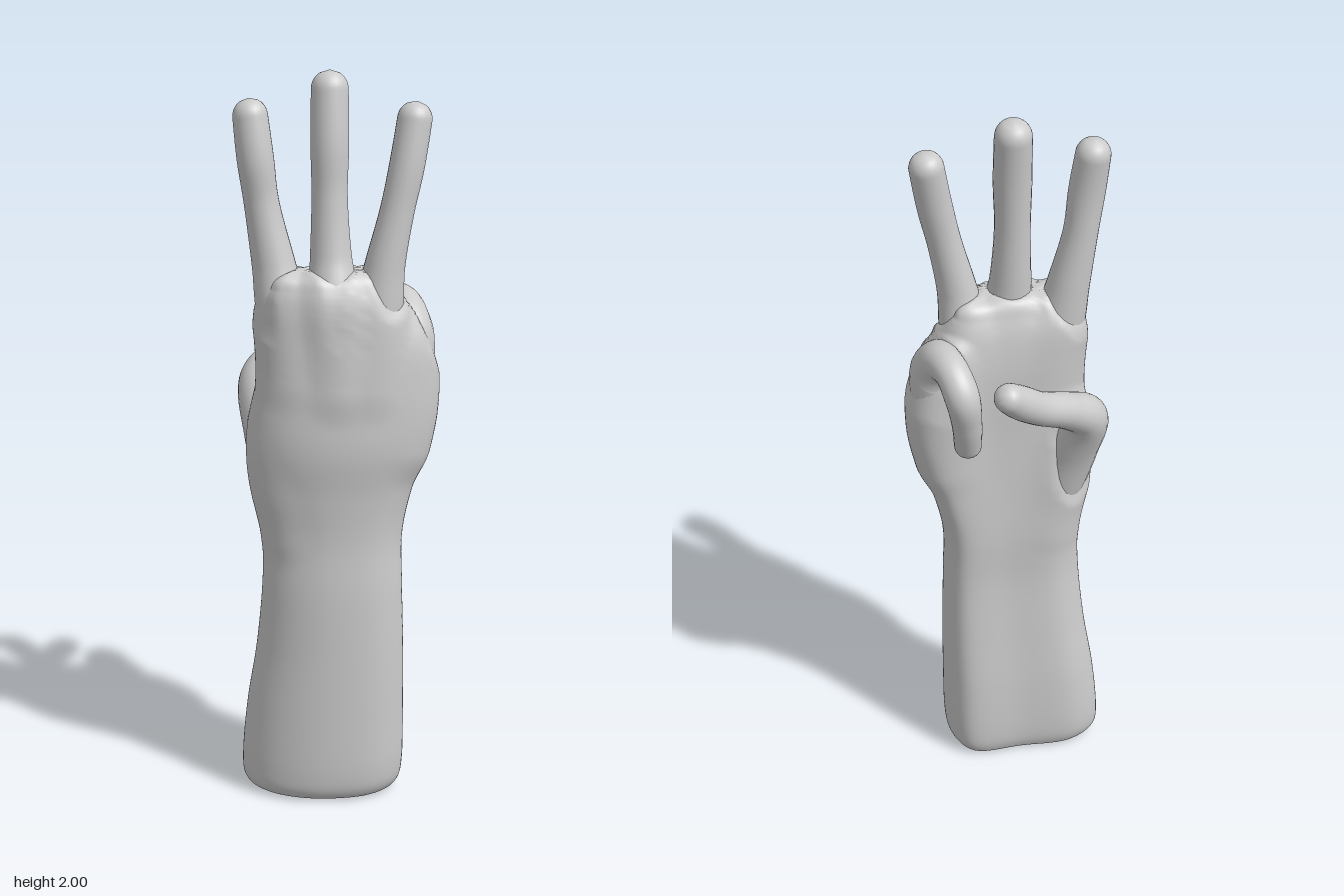
import * as THREE from 'three';
import { mergeVertices } from 'three/addons/utils/BufferGeometryUtils.js';

const material = new THREE.MeshStandardMaterial({ color: 0xcccccc });

// Joints of each digit from root to tip: [x, y, z, radius]
const digits = {
  indexFinger: [
    [-0.12, 1.2, 0.045, 0.06], [-0.148, 1.38, 0.025, 0.068], [-0.163, 1.5, 0.005, 0.057],
    [-0.188, 1.66, -0.012, 0.046], [-0.203, 1.78, -0.016, 0.048], [-0.212, 1.93, -0.038, 0.045],
  ],
  middleFinger: [
    [-0.03, 1.18, 0.11, 0.06], [-0.034, 1.4, 0.1, 0.07], [-0.032, 1.52, 0.078, 0.055],
    [-0.029, 1.68, 0.062, 0.047], [-0.025, 1.82, 0.054, 0.05], [-0.015, 2.0, 0.03, 0.048],
  ],
  ringFinger: [
    [0.05, 1.18, 0.12, 0.06], [0.083, 1.38, 0.12, 0.066], [0.098, 1.5, 0.13, 0.053],
    [0.128, 1.64, 0.136, 0.045], [0.156, 1.76, 0.135, 0.046], [0.19, 1.92, 0.122, 0.045],
  ],
  littleFinger: [
    [0.15, 1.0, 0.11, 0.06], [0.17, 1.18, 0.1, 0.076], [0.178, 1.3, 0.09, 0.075],
    [0.194, 1.355, 0.04, 0.054], [0.198, 1.358, -0.025, 0.046], [0.195, 1.31, -0.07, 0.046],
    [0.178, 1.22, -0.063, 0.04], [0.155, 1.095, -0.025, 0.036],
  ],
  thumb: [
    [-0.12, 0.76, 0.02, 0.05], [-0.145, 0.9, -0.005, 0.066], [-0.16, 1.03, -0.045, 0.068],
    [-0.155, 1.155, -0.107, 0.06], [-0.085, 1.212, -0.133, 0.05], [0.015, 1.265, -0.155, 0.045],
    [0.08, 1.312, -0.168, 0.045], [0.148, 1.37, -0.19, 0.036],
  ],
};

// Smooth curve through a list of numbers, t in 0..1
function track(values) {
  const curve = new THREE.SplineCurve(values.map((v) => new THREE.Vector2(v, 0)));
  return (t) => curve.getPoint(t).x;
}

// Centre line and thickness of a digit
function spine(joints) {
  return {
    path: new THREE.CatmullRomCurve3(joints.map(([x, y, z]) => new THREE.Vector3(x, y, z))),
    radius: track(joints.map((j) => j[3])),
  };
}

// Weld the seam and give smooth normals
function smoothMesh(geometry, name) {
  geometry.deleteAttribute('uv');
  geometry.deleteAttribute('normal');
  const welded = mergeVertices(geometry, 1e-5);
  welded.computeVertexNormals();
  const mesh = new THREE.Mesh(welded, material);
  mesh.name = name;
  return mesh;
}

// Round-ended tube of changing thickness
function digit(name, joints) {
  const segments = 110, sides = 24;
  const { path, radius } = spine(joints);
  const geometry = new THREE.TubeGeometry(path, segments, 1, sides);
  const pos = geometry.attributes.position;
  const length = path.getLength();
  const v = new THREE.Vector3();
  for (let i = 0; i <= segments; i++) {
    const u = i / segments;
    const centre = path.getPointAt(u);
    let r = radius(path.getUtoTmapping(u));
    const d = Math.min(u, 1 - u) * length;
    if (d < r) r *= Math.sqrt(Math.max(0, 1 - ((r - d) / r) ** 2));
    for (let j = 0; j <= sides; j++) {
      const k = i * (sides + 1) + j;
      v.fromBufferAttribute(pos, k).sub(centre).multiplyScalar(r).add(centre);
      pos.setXYZ(k, v.x, v.y, v.z);
    }
  }
  return smoothMesh(geometry, name);
}

// Forearm and palm: one slanted section fitted to a changing width and depth
function armAndPalm() {
  // [y, left x, right x, back z, front z]
  const sections = [
    [0, -0.04, -0.04, 0.05, 0.05],
    [0, -0.19, 0.115, -0.065, 0.15],
    [0.022, -0.24, 0.158, -0.103, 0.187],
    [0.09, -0.248, 0.171, -0.116, 0.202],
    [0.25, -0.235, 0.171, -0.107, 0.203],
    [0.42, -0.213, 0.168, -0.085, 0.2],
    [0.6, -0.2, 0.163, -0.066, 0.193],
    [0.75, -0.197, 0.165, -0.065, 0.183],
    [0.88, -0.217, 0.192, -0.06, 0.19],
    [1.0, -0.232, 0.23, -0.055, 0.208],
    [1.1, -0.23, 0.248, -0.05, 0.21],
    [1.22, -0.215, 0.24, -0.05, 0.203],
    [1.31, -0.208, 0.212, -0.05, 0.193],
    [1.39, -0.206, 0.155, -0.045, 0.18],
    [1.44, -0.193, 0.125, -0.022, 0.163],
    [1.472, -0.16, 0.095, 0.01, 0.138],
    [1.48, -0.03, -0.03, 0.08, 0.08],
  ];
  const outline = new THREE.CatmullRomCurve3([
    [0.07, 0.08], [0, 0.3], [0.1, 0.62], [0.35, 0.88], [0.7, 1], [0.92, 0.89],
    [1, 0.6], [0.94, 0.35], [0.61, 0.19], [0.26, 0.02],
  ].map(([u, w]) => new THREE.Vector3(u, 0, w)), true).getPoints(72);
  const [y, left, right, back, front] = [0, 1, 2, 3, 4].map((k) => track(sections.map((s) => s[k])));
  const rings = 150, n = outline.length;
  const positions = [], indices = [];
  for (let i = 0; i <= rings; i++) {
    const t = i / rings;
    for (const p of outline) {
      positions.push(
        THREE.MathUtils.lerp(left(t), right(t), p.x),
        Math.max(0, y(t)),
        THREE.MathUtils.lerp(back(t), front(t), p.z));
    }
  }
  for (let i = 0; i < rings; i++) {
    for (let j = 0; j < n - 1; j++) {
      const a = i * n + j, b = a + 1, c = a + n, d = c + 1;
      indices.push(a, b, c, b, d, c);
    }
  }
  const geometry = new THREE.BufferGeometry();
  geometry.setAttribute('position', new THREE.Float32BufferAttribute(positions, 3));
  geometry.setIndex(indices);
  return smoothMesh(geometry, 'forearmAndPalm');
}

// Swell the palm skin around the roots of the digits to form soft fillets
function filletRoots(mesh, reach) {
  const balls = Object.values(digits).flatMap((joints) => {
    const { path, radius } = spine(joints);
    return Array.from({ length: 31 }, (_, i) => [path.getPoint(i / 60), radius(i / 60)]);
  });
  const { position, normal } = mesh.geometry.attributes;
  const p = new THREE.Vector3(), n = new THREE.Vector3();
  for (let i = 0; i < position.count; i++) {
    p.fromBufferAttribute(position, i);
    n.fromBufferAttribute(normal, i);
    const gap = Math.min(...balls.map(([centre, r]) => p.distanceTo(centre) - r));
    const swell = Math.max(0, reach - Math.abs(gap)) ** 2 / (4 * reach);
    p.addScaledVector(n, swell);
    position.setXYZ(i, p.x, p.y, p.z);
  }
  mesh.geometry.computeVertexNormals();
}

export function createModel() {
  const hand = new THREE.Group();
  hand.name = 'hand';
  const body = armAndPalm();
  filletRoots(body, 0.07);
  hand.add(body);
  for (const [name, joints] of Object.entries(digits)) hand.add(digit(name, joints));
  return hand;
}
